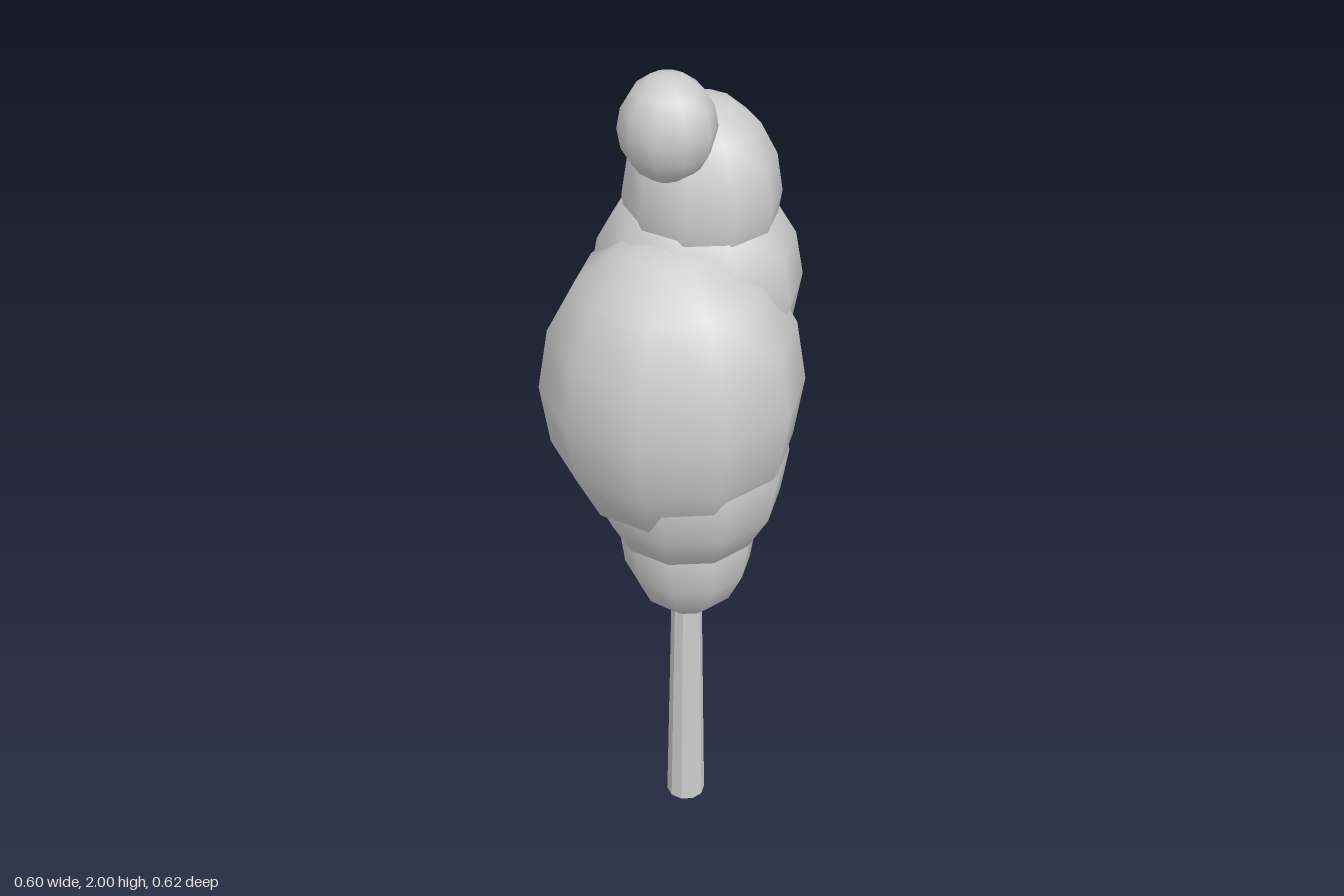
import * as THREE from 'three';

const grey = new THREE.MeshStandardMaterial({ color: 0xcccccc });
grey.name = 'pale grey';
const greyFaceted = grey.clone();
greyFaceted.flatShading = true;

// Foliage clumps from bottom to top: name, centre, horizontal radius, vertical radius
const CLUMPS = [
  ['foliageBase', [0.035, 0.867, 0.045], 0.16, 0.225],
  ['foliageLower', [0.032, 1.073, 0.038], 0.236, 0.28],
  ['foliageMain', [0, 1.257, 0.025], 0.3, 0.38],
  ['foliageBack', [0.061, 1.465, -0.086], 0.239, 0.27],
  ['foliageUpper', [0.071, 1.68, -0.073], 0.176, 0.23],
  ['foliageTip', [-0.01, 1.88, 0.017], 0.107, 0.12],
];

export function createModel() {
  const tree = new THREE.Group();
  tree.name = 'tree';

  // Tapered trunk, running up into the foliage
  const height = 0.9;
  const trunk = new THREE.Mesh(
    new THREE.CylinderGeometry(0.032, 0.0475, height, 10).rotateY(Math.PI / 2),
    greyFaceted
  );
  trunk.name = 'trunk';
  trunk.position.set(0.0375, height / 2, -0.017);
  tree.add(trunk);

  // Smooth stretched spheres with ten sides
  for (const [name, centre, radius, halfHeight] of CLUMPS) {
    const geometry = new THREE.SphereGeometry(1, 10, 8).scale(radius, halfHeight, radius);
    const clump = new THREE.Mesh(geometry, grey);
    clump.name = name;
    clump.position.set(...centre);
    tree.add(clump);
  }
  return tree;
}
